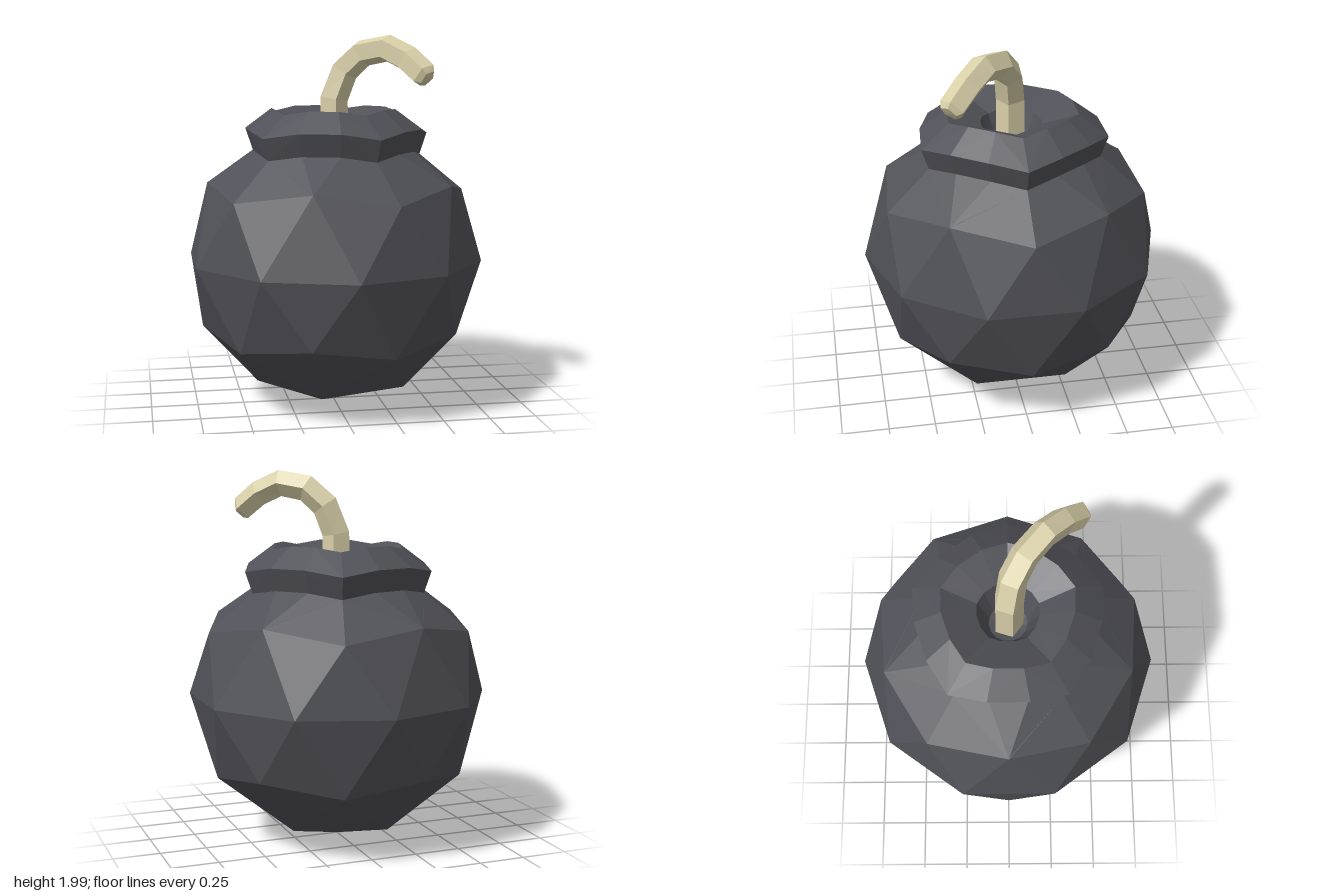
import * as THREE from 'three';

const iron = new THREE.MeshStandardMaterial({ color: 0x505058, flatShading: true });
const cord = new THREE.MeshStandardMaterial({ color: 0xd8cfa8, flatShading: true });

function mesh(name, geometry, material) {
  const m = new THREE.Mesh(geometry, material);
  m.name = name;
  return m;
}

// Once-divided icosahedron standing on a corner, with its top sunk under the collar
function bodyGeometry() {
  const g = new THREE.IcosahedronGeometry(0.8, 1);
  g.rotateZ(-Math.atan(2 / (1 + Math.sqrt(5))));
  g.translate(0, 0.8, 0);
  const p = g.attributes.position;
  for (let i = 0; i < p.count; i++) {
    const x = p.getX(i), y = p.getY(i), z = p.getZ(i);
    if (y > 1.55) p.setXYZ(i, 0, 1.2, 0);
    else if (y > 1.4) {
      const s = 0.476 / Math.hypot(x, z);
      p.setXYZ(i, x * s, 1.355, z * s);
    }
  }
  g.computeVertexNormals();
  return g;
}

// Five-cornered collar: each ring gives [radius, height] at corners,
// [radius, height] between corners, and the angle of the points after a corner
function collarGeometry() {
  const rings = [
    [0.476, 1.355, 0.68, 1.22, 36], // fan joining the body
    [0.476, 1.355, 0.437, 1.382, 23],
    [0.515, 1.47, 0.477, 1.5, 23],
    [0.357, 1.585, 0.335, 1.606, 23],
    [0.165, 1.52, 0.16, 1.53, 23], // dished top
    [0.1, 1.38, 0.1, 1.38, 23], // fuse hole
    [0, 1.36, 0, 1.36, 23],
  ];
  const pos = [], index = [], n = 15;
  for (const [rc, yc, rm, ym, step] of rings) {
    for (let i = 0; i < n; i++) {
      const k = i % 3;
      const a = THREE.MathUtils.degToRad(Math.floor(i / 3) * 72 + [0, step, 72 - step][k]);
      const r = k ? rm : rc;
      pos.push(r * Math.cos(a), k ? ym : yc, -r * Math.sin(a));
    }
  }
  for (let j = 0; j < rings.length - 1; j++) {
    for (let i = 0; i < n; i++) {
      const a = j * n + i, b = j * n + (i + 1) % n;
      // mirror the diagonal so the joining fan stays symmetric
      if (i % 3 === 2) index.push(a, b, a + n, b, b + n, a + n);
      else index.push(a, b, b + n, a, b + n, a + n);
    }
  }
  const g = new THREE.BufferGeometry();
  g.setAttribute('position', new THREE.Float32BufferAttribute(pos, 3));
  g.setIndex(index);
  const flat = g.toNonIndexed();
  flat.computeVertexNormals();
  return flat;
}

// Five-sided bent cord with one ring per path point and a bevelled, closed end
function fuseGeometry() {
  const path = [
    [0, 1.36, 0], [0, 1.66, 0], [0.055, 1.81, 0.02], [0.14, 1.9, 0.08],
    [0.25, 1.925, 0.18], [0.34, 1.87, 0.27], [0.41, 1.79, 0.355],
    [0.424, 1.773, 0.373], [0.426, 1.771, 0.375],
  ].map((p) => new THREE.Vector3(...p));
  const curve = new THREE.CatmullRomCurve3(path);
  curve.getPointAt = curve.getPoint;
  curve.getTangentAt = curve.getTangent;
  const sides = 5, last = path.length - 1;
  const g = new THREE.TubeGeometry(curve, last, 0.08, sides);
  const p = g.attributes.position, v = new THREE.Vector3();
  path.forEach((c, j) => {
    const s = j === last ? 0 : j === last - 1 ? 0.6 : 1 - 0.02 * j;
    for (let i = 0; i <= sides; i++) {
      const k = j * (sides + 1) + i;
      v.fromBufferAttribute(p, k).sub(c).multiplyScalar(s).add(c);
      p.setXYZ(k, v.x, v.y, v.z);
    }
  });
  const flat = g.toNonIndexed();
  flat.computeVertexNormals();
  return flat;
}

export function createModel() {
  const group = new THREE.Group();
  group.name = 'bomb';
  group.add(
    mesh('body', bodyGeometry(), iron),
    mesh('collar', collarGeometry(), iron),
    mesh('fuse', fuseGeometry(), cord),
  );
  return group;
}
